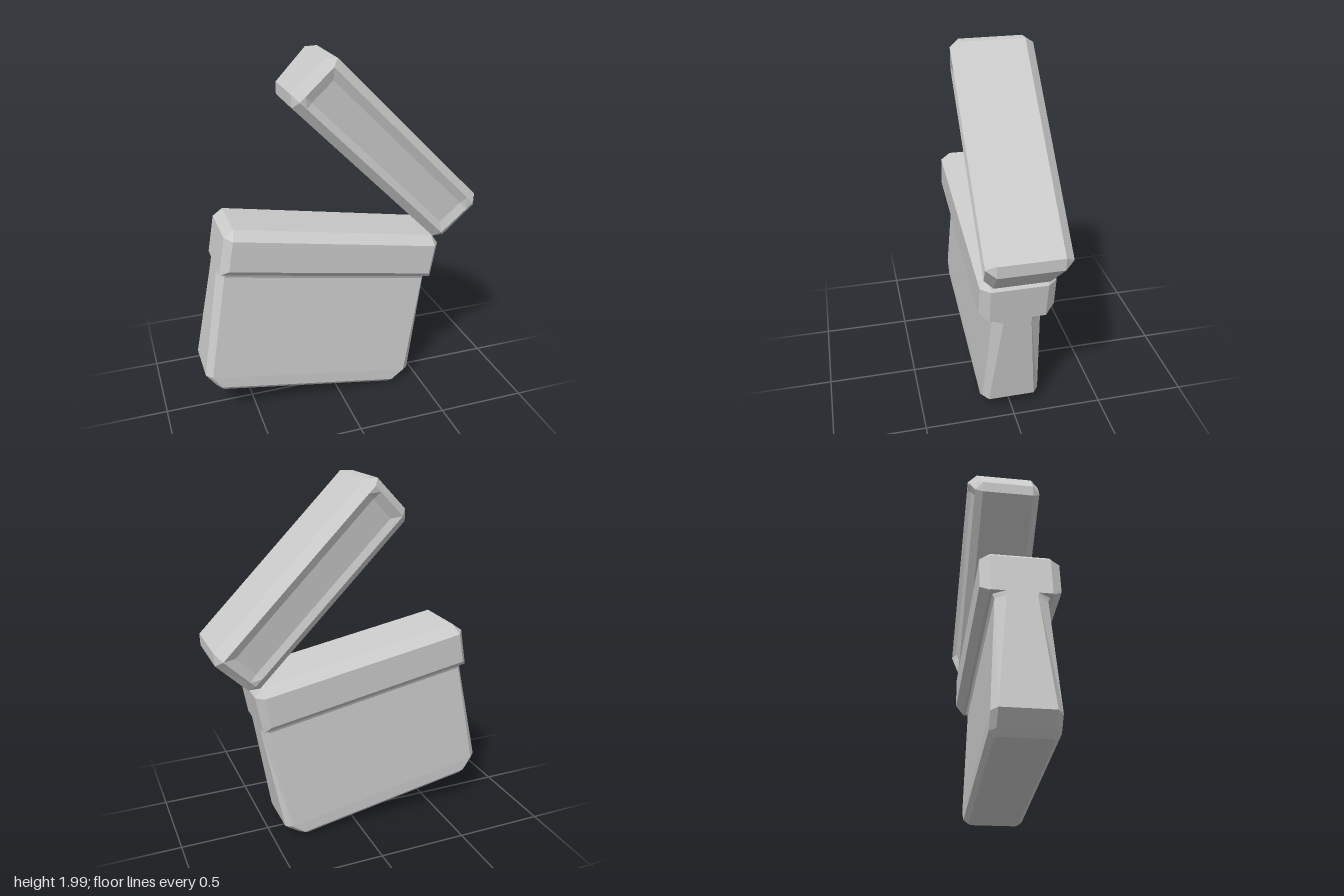
import * as THREE from 'three';

const material = new THREE.MeshStandardMaterial({ color: 0xcccccc, flatShading: true });

// Stacks chamfered rectangular rings between x0 and x1.
// Each level: y, inset of the ends, half depth of sides, half depth of ends,
// corner chamfer along x, dent of the side panel.
function loft(name, x0, x1, levels) {
  const panelInset = 0.05;
  const rings = levels.map(([y, inset, side, end, c, dent = 0]) => {
    const a = x1 - inset, b = x0 + inset;
    const half = [
      [a, end], [a - c, side], [a - c - panelInset, side - dent],
      [b + c + panelInset, side - dent], [b + c, side], [b, end],
    ];
    const back = half.map(([x, z]) => [x, -z]).reverse();
    return [...half, ...back].map(([x, z]) => [x, y, z]);
  });
  const n = rings[0].length;
  const pos = [];
  const tri = (a, b, c) => pos.push(...a, ...b, ...c);
  // walls
  for (let k = 0; k + 1 < rings.length; k++) {
    const lo = rings[k], hi = rings[k + 1];
    for (let i = 0; i < n; i++) {
      const j = (i + 1) % n;
      tri(lo[i], hi[i], hi[j]);
      tri(lo[i], hi[j], lo[j]);
    }
  }
  // caps
  const bottom = rings[0], top = rings[rings.length - 1];
  for (let i = 1; i + 1 < n; i++) {
    tri(bottom[0], bottom[i], bottom[i + 1]);
    tri(top[0], top[i + 1], top[i]);
  }
  const geometry = new THREE.BufferGeometry();
  geometry.setAttribute('position', new THREE.Float32BufferAttribute(pos, 3));
  geometry.computeVertexNormals();
  const mesh = new THREE.Mesh(geometry, material);
  mesh.name = name;
  return mesh;
}

export function createModel() {
  const model = new THREE.Group();
  model.name = 'openCase';

  // Lower case, tapering up to the neck, with the wider rim on top
  const body = new THREE.Group();
  body.name = 'caseBody';
  body.add(
    loft('lowerCase', -0.82, 0.412, [
      [0.065, 0.097, 0.135, 0.12, 0.015],
      [0.092, 0.067, 0.16, 0.13, 0.03],
      [0.157, 0, 0.16, 0.13, 0.035],
      [0.76, 0, 0.13, 0.075, 0.035],
      [0.787, 0, 0.14, 0.08, 0.035],
    ]),
    loft('rim', -0.82, 0.412, [
      [0.785, 0, 0.155, 0.15, 0.005],
      [0.825, 0, 0.2, 0.15, 0.038],
      [0.995, 0, 0.2, 0.15, 0.038],
      [1.042, 0.045, 0.15, 0.15, 0.005],
    ]),
  );
  body.rotation.z = THREE.MathUtils.degToRad(-10);

  // Lid swung open, its sides slightly sunken
  const lid = loft('lid', -1.478, -0.243, [
    [1.064, 0.045, 0.145, 0.145, 0.003],
    [1.11, 0, 0.187, 0.145, 0.045],
    [1.15, 0, 0.192, 0.149, 0.045, 0.015],
    [1.3, 0, 0.209, 0.161, 0.045, 0.015],
    [1.345, 0, 0.215, 0.165, 0.045],
    [1.393, 0.045, 0.165, 0.165, 0.003],
  ]);
  lid.rotation.z = THREE.MathUtils.degToRad(-45);

  model.add(body, lid);
  return model;
}
